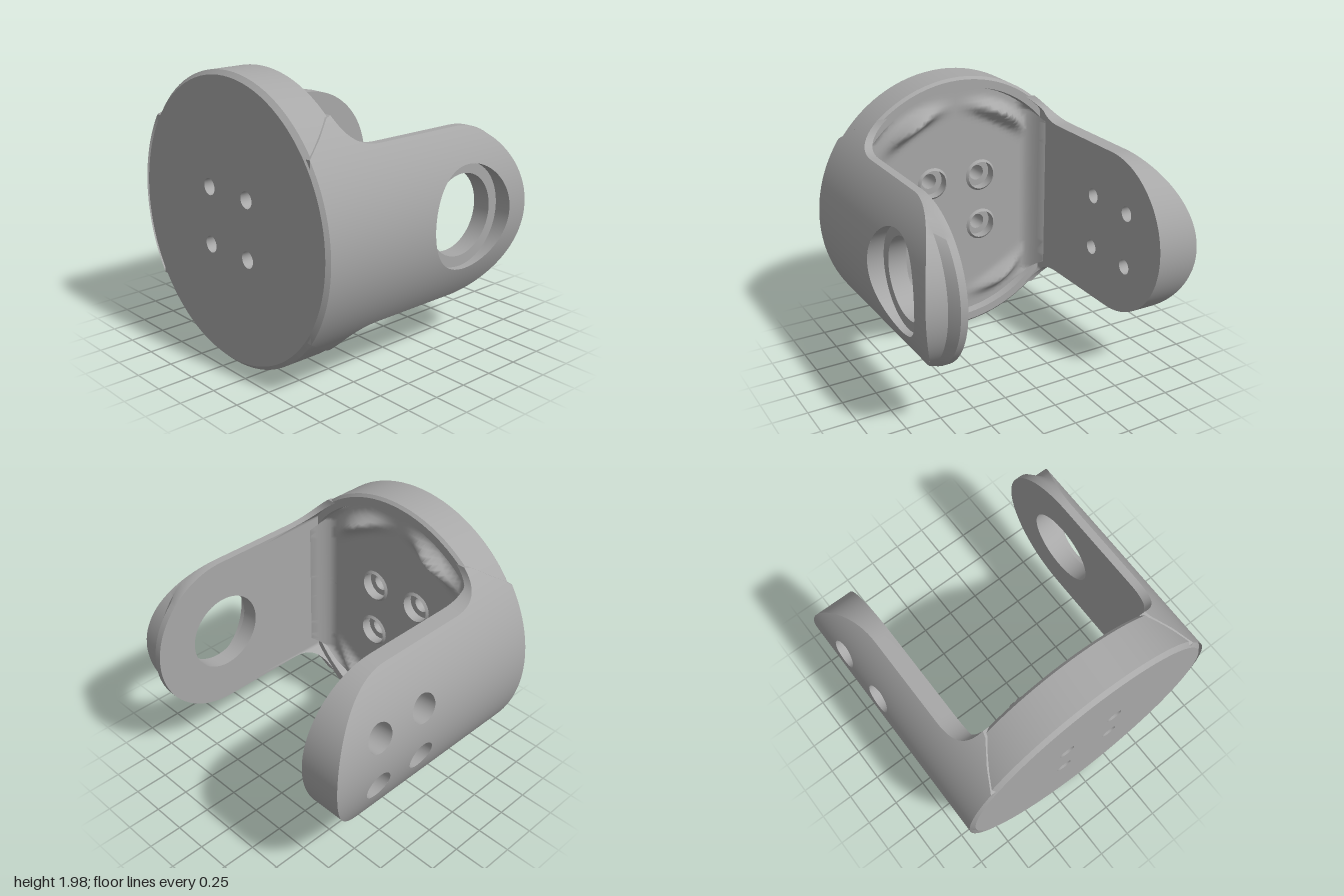
import * as THREE from 'three';
import { toCreasedNormals } from 'three/addons/utils/BufferGeometryUtils.js';

const R = 1.0;          // outer radius of the arms
const ARM_R = 0.59;     // half height of an arm
const EYE_X = 0.33;     // centre of the rounded arm ends
const AXIS_Y = 0.99;

const metal = new THREE.MeshStandardMaterial({ color: 0xa8a8a8, side: THREE.DoubleSide });
metal.name = 'grey metal';

const circle = (cx, cy, r, n = 32) => Array.from({ length: n }, (_, i) => {
  const a = (i / n) * Math.PI * 2;
  return new THREE.Vector2(cx + r * Math.cos(a), cy + r * Math.sin(a));
});
const fourHoles = (cx, r) => [-0.2, 0.2].flatMap(dx => [-0.2, 0.2].map(dy => circle(cx + dx, dy, r, 24)));

// Part of a convex polygon on one side of the line p[axis] = c
function clip(poly, axis, c, sign) {
  const out = [];
  poly.forEach((p, i) => {
    const q = poly[(i + 1) % poly.length];
    const a = (p[axis] - c) * sign, b = (q[axis] - c) * sign;
    if (a >= 0) out.push(p);
    if ((a > 0 && b < 0) || (a < 0 && b > 0)) out.push(p.clone().lerp(q, a / (a - b)));
  });
  return out;
}

// Cuts polygons into parallel strips so a face can follow a curved surface
function strips(polys, axis, step) {
  return polys.flatMap(poly => {
    const v = poly.map(p => p[axis]), out = [];
    for (let k = Math.floor(Math.min(...v) / step); k * step < Math.max(...v); k++) {
      const piece = clip(clip(poly, axis, k * step, 1), axis, (k + 1) * step, -1);
      if (piece.length > 2) out.push(piece);
    }
    return out;
  });
}

// Outline with holes, laid on the surface z = f(x, y)
function face(name, outline, holes, f, { back = false, stepX = 0, stepY = 0 } = {}) {
  const all = [outline, ...holes].flat();
  let polys = THREE.ShapeUtils.triangulateShape(outline, holes).map(t => t.map(i => all[i]));
  if (stepY) polys = strips(polys, 'y', stepY);
  if (stepX) polys = strips(polys, 'x', stepX);
  const pos = [], nor = [], e = 1e-3, s = back ? -1 : 1;
  for (const poly of polys) for (let i = 1; i < poly.length - 1; i++) {
    let [a, b, c] = [poly[0], poly[i], poly[i + 1]];
    const area = (b.x - a.x) * (c.y - a.y) - (b.y - a.y) * (c.x - a.x);
    if (Math.abs(area) < 1e-9) continue;
    if (area * s < 0) [b, c] = [c, b];
    for (const p of [a, b, c]) {
      const n = new THREE.Vector3(
        (f(p.x - e, p.y) - f(p.x + e, p.y)) / (2 * e), (f(p.x, p.y - e) - f(p.x, p.y + e)) / (2 * e), 1);
      n.normalize().multiplyScalar(s);
      pos.push(p.x, p.y, f(p.x, p.y));
      nor.push(n.x, n.y, n.z);
    }
  }
  const g = new THREE.BufferGeometry();
  g.setAttribute('position', new THREE.Float32BufferAttribute(pos, 3));
  g.setAttribute('normal', new THREE.Float32BufferAttribute(nor, 3));
  return named(new THREE.Mesh(g, metal), name);
}

// Closed wall through rings given as [points, f(x, y)]
function wall(name, ...rings) {
  const n = rings[0][0].length, pos = [], idx = [];
  for (const [pts, f] of rings) for (const p of pts) pos.push(p.x, p.y, f(p.x, p.y));
  for (let r = 0; r < rings.length - 1; r++) for (let i = 0; i < n; i++) {
    const a = r * n + i, b = r * n + (i + 1) % n;
    idx.push(a, b, b + n, a, b + n, a + n);
  }
  const g = new THREE.BufferGeometry();
  g.setAttribute('position', new THREE.Float32BufferAttribute(pos, 3));
  g.setIndex(idx);
  return named(new THREE.Mesh(toCreasedNormals(g, 0.6), metal), name);
}

function named(object, name) { object.name = name; return object; }

const outer = (x, y) => Math.sqrt(Math.max(0, R * R - y * y));
const innerAt = z0 => (x, y) => Math.min(z0, Math.sqrt(Math.max(0, 0.955 ** 2 - y * y)));
const flat = z => () => z;

// Arm outline: flared root, straight sides, round end of depth rx
function armOutline(rx) {
  const V = (x, y) => new THREE.Vector2(x, y);
  const side = [V(-0.91, 0.58), V(-0.775, 0.67), V(-0.64, 0.76),
    ...new THREE.QuadraticBezierCurve(V(-0.6, 0.77), V(-0.58, ARM_R), V(-0.34, ARM_R)).getPoints(12)];
  const end = [];
  for (let i = 0; i <= 48; i++) {
    const a = (i / 48 - 0.5) * Math.PI;
    end.push(V(EYE_X + rx * Math.cos(a), ARM_R * Math.sin(a)));
  }
  return [...side.map(p => V(p.x, -p.y)), ...end, ...side.reverse()];
}

// Arm with its outside towards +z; bores are drilled wide from outside, narrow inside
function arm(name, z0, rim, wide, narrow, seatZ) {
  const g = named(new THREE.Group(), name);
  const inner = innerAt(z0), full = armOutline(ARM_R), small = armOutline(rim);
  g.add(face('outerSkin', small, wide, outer, { stepY: 0.04 }));
  g.add(face('innerSkin', full, narrow, inner, { back: true, stepY: 0.04 }));
  if (rim < ARM_R) {
    g.add(wall('steppedEdge', [full, inner],
      [full, (x, y) => Math.min(0.8, outer(x, y))],
      [small, (x, y) => Math.min(0.85, outer(x, y))], [small, outer]));
  } else g.add(wall('edge', [full, inner], [full, outer]));
  wide.forEach((w, i) => {
    g.add(wall('counterbore', [w, flat(seatZ)], [w, outer]));
    g.add(face('boreSeat', w, [narrow[i]], flat(seatZ)));
    g.add(wall('bore', [narrow[i], inner], [narrow[i], flat(seatZ)]));
  });
  return g;
}

// Moulded floor: fillets towards both arms and four curved ridges
function floorHeight(u, v) {
  const ss = THREE.MathUtils.smoothstep;
  const d = innerAt(u < 0 ? 0.75 : 0.69)(0, v) - Math.abs(u);
  const fillet = 0.14 * Math.min(1, Math.max(0, 1 - d / 0.14)) ** 2 * (1 - ss(Math.abs(v), 0.68, 0.77));
  const ang = Math.atan2(Math.abs(v), Math.abs(u));
  const r = Math.hypot(u, v);
  const ridge = (v > 0 ? 0.12 : 0.08) * Math.exp(-(((r - 0.76) / 0.05) ** 2)) * Math.exp(-(((ang - 1.08) / 0.25) ** 2));
  return -0.66 + Math.max(fillet, ridge);
}

// Base disc, built along local z and turned to lie along x
function base() {
  const g = named(new THREE.Group(), 'base');
  const rings = [[0.96, -0.92], [0.99, -0.89], [0.99, -0.62], [0.97, -0.6], [0.91, -0.6], [0.9, -0.66]];
  g.add(wall('discRim', ...rings.map(([r, z]) => [circle(0, 0, r, 96), flat(z)])));
  const wide = fourHoles(0, 0.105), narrow = fourHoles(0, 0.058), collar = fourHoles(0, 0.122);
  g.add(face('discBack', circle(0, 0, 0.96, 96), narrow, flat(-0.92), { back: true }));
  g.add(face('mouldedFloor', circle(0, 0, 0.9, 96), collar, floorHeight, { stepX: 0.03, stepY: 0.03 }));
  wide.forEach((w, i) => {
    g.add(wall('screwSeat', [collar[i], flat(-0.66)], [w, flat(-0.645)], [w, flat(-0.72)], [narrow[i], flat(-0.72)]));
    g.add(wall('screwHole', [narrow[i], flat(-0.92)], [narrow[i], flat(-0.72)]));
  });
  g.rotation.y = Math.PI / 2;
  return g;
}

export function createModel() {
  const model = named(new THREE.Group(), 'clevisBracket');
  const front = arm('frontArm', 0.75, 0.52, [circle(EYE_X, 0, 0.36, 64)], [circle(EYE_X, 0, 0.285, 64)], 0.88);
  const back = arm('backArm', 0.69, ARM_R, fourHoles(EYE_X, 0.105), fourHoles(EYE_X, 0.055), 0.8);
  back.rotation.x = Math.PI;
  model.add(base(), front, back);
  for (const part of model.children) part.position.y = AXIS_Y;
  return model;
}
